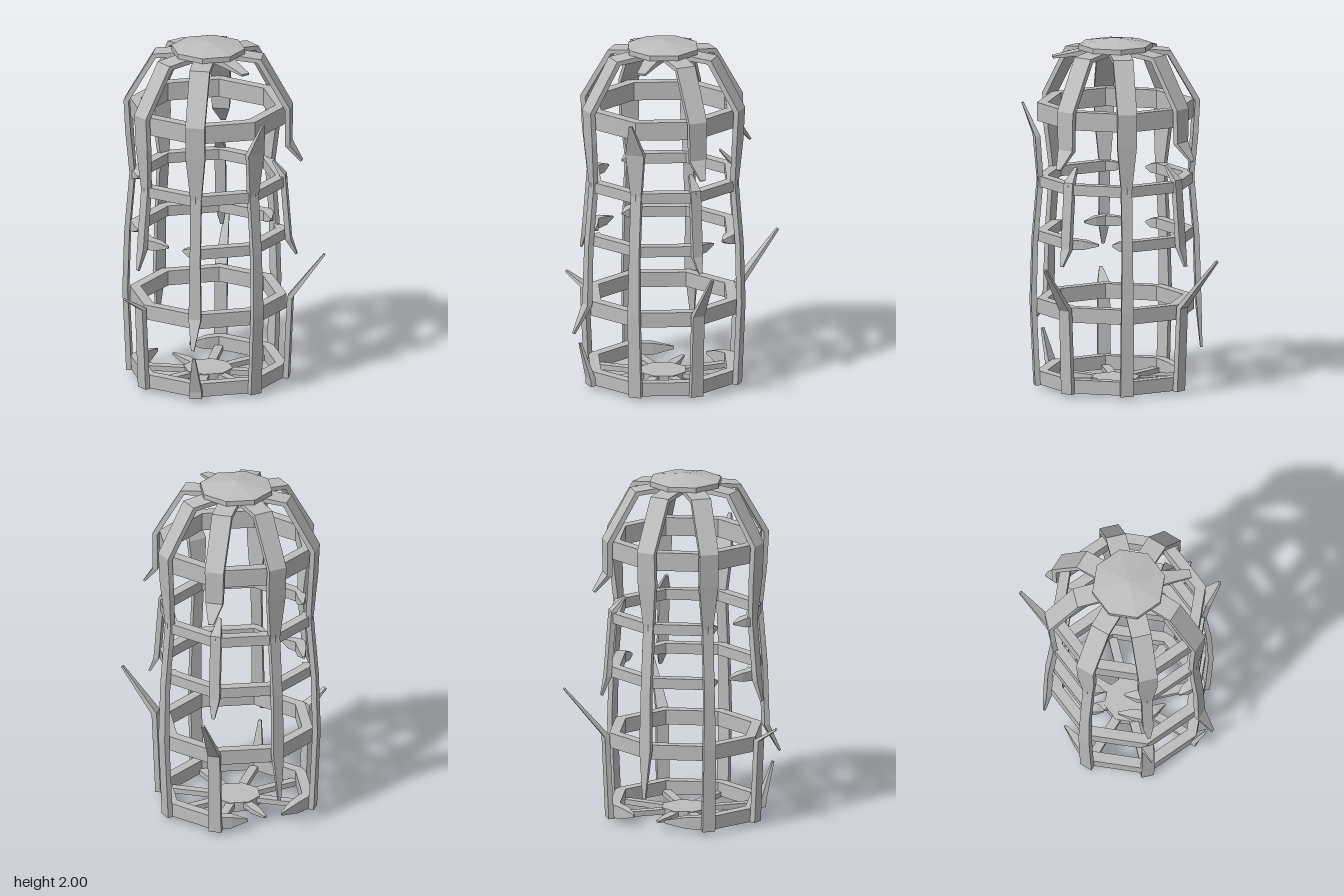
import * as THREE from 'three';

const metal = new THREE.MeshStandardMaterial({ color: 0xbdbdbd, flatShading: true });
metal.name = 'grey metal';

// Skin a list of four-cornered sections, capped at both ends and facing outward
function loft(sections) {
  const tris = [];
  const quad = (a, b, c, d) => tris.push([a, b, c], [a, c, d]);
  for (let i = 0; i < sections.length - 1; i++) {
    for (let k = 0; k < 4; k++) {
      const n = (k + 1) % 4;
      quad(sections[i][k], sections[i][n], sections[i + 1][n], sections[i + 1][k]);
    }
  }
  const [a, b, c, d] = sections[0];
  const [e, f, g, h] = sections[sections.length - 1];
  quad(d, c, b, a);
  quad(e, f, g, h);
  const mid = a.clone().add(c).add(e).add(g).multiplyScalar(0.25);
  let volume = 0;
  for (const t of tris) {
    const [p, q, r] = t.map((v) => v.clone().sub(mid));
    volume += p.dot(q.cross(r));
  }
  const points = tris.flatMap((t) => (volume < 0 ? [t[0], t[2], t[1]] : t));
  const geometry = new THREE.BufferGeometry().setFromPoints(points);
  geometry.computeVertexNormals();
  return geometry;
}

// Strip whose outer face follows [radius, height, width, thickness] points
function strip(path) {
  const sections = path.map(([r, y, w, t = 0.03], i) => {
    const p = path[Math.max(i - 1, 0)];
    const n = path[Math.min(i + 1, path.length - 1)];
    const dir = new THREE.Vector2(n[0] - p[0], n[1] - p[1]).normalize();
    const ir = r + dir.y * t;
    const iy = y - dir.x * t;
    return [[-w / 2, y, r], [w / 2, y, r], [w / 2, iy, ir], [-w / 2, iy, ir]]
      .map((v) => new THREE.Vector3(...v));
  });
  return loft(sections);
}

// Whole bar from the crown to the floor
const PROFILE = [
  [0.12, 1.945, 0.115], [0.31, 1.925, 0.115], [0.475, 1.64, 0.11], [0.465, 1.45, 0.11],
  [0.445, 1.2, 0.062], [0.475, 0.85, 0.06], [0.485, 0.5, 0.07], [0.463, 0.02, 0.074],
];
const P = (from, to) => PROFILE.slice(from, to + 1);
const tip = (r, y, w = 0.018) => [r, y, w, 0.012];

// Bars by direction, in steps of 45 degrees from +z towards +x; broken bars have several pieces
const BARS = [
  [[...P(0, 5), tip(0.495, 0.73)], [tip(0.585, 0.57), ...P(6, 7)]],
  [[...P(0, 6), tip(0.56, 0.34)], [tip(0.52, 0.275), [0.465, 0.06, 0.072], ...P(7, 7)]],
  [[...P(0, 0), [0.21, 1.935, 0.08], tip(0.36, 1.905, 0.05)], [tip(0.535, 1.64), ...P(3, 7)]],
  [[...P(0, 2), [0.475, 1.42, 0.1], tip(0.54, 1.32, 0.03)],
    [tip(0.375, 1.31), [0.445, 1.23, 0.062], [0.475, 0.85, 0.06], tip(0.51, 0.76)],
    [tip(0.67, 0.76), ...P(6, 7)]],
  [PROFILE],
  [[...P(0, 2), [0.475, 1.45, 0.1], tip(0.545, 1.35, 0.03)],
    [tip(0.36, 1.31), [0.445, 1.23, 0.062], [0.475, 0.85, 0.06], tip(0.5, 0.74)],
    [tip(0.72, 0.79), ...P(6, 7)]],
  [[...P(0, 6), tip(0.495, 0.21)]],
  [PROFILE],
];

// Rings: height, band height, and broken spans as { side: [stub length, stub length] }
const RINGS = [
  [1.587, 0.105, {}],
  [1.19, 0.06, { 7: [0.25, 0.38] }],
  [0.875, 0.06, { 0: [0.42, 0.28], 7: [0.25, 0.5], 3: [0.5, 0.25] }],
  [0.473, 0.085, {}],
  [0.063, 0.078, { 5: [0.55, 0], 6: [0, 0.75] }],
];
const R_OUT = 0.448, R_IN = 0.385;

function ringSpan(side, y, h, from, to, taper) {
  const corner = (i, r) => new THREE.Vector3(Math.sin(i * Math.PI / 4) * r, 0, Math.cos(i * Math.PI / 4) * r);
  const section = (f, s) => {
    const out = corner(side, R_OUT).lerp(corner(side + 1, R_OUT), f);
    const inn = corner(side, R_IN).lerp(corner(side + 1, R_IN), f);
    const mid = out.clone().lerp(inn, 0.5);
    out.lerp(mid, 1 - s);
    inn.lerp(mid, 1 - s);
    return [[out, 1], [inn, 1], [inn, -1], [out, -1]]
      .map(([v, sign]) => v.clone().setY(y + sign * s * h / 2));
  };
  return loft(taper
    ? [section(from, 1), section(from + (to - from) * 0.5, 0.85), section(to, 0.2)]
    : [section(from, 1), section(to, 1)]);
}

export function createModel() {
  const model = new THREE.Group();
  model.name = 'brokenCage';
  const cage = new THREE.Group();
  cage.name = 'cage';
  cage.position.set(-0.015, 0, -0.035);
  model.add(cage);
  const add = (geometry, name, y = 0) => {
    const mesh = new THREE.Mesh(geometry, metal);
    mesh.name = name;
    mesh.position.y = y;
    cage.add(mesh);
    return mesh;
  };

  // Vertical bars
  BARS.forEach((pieces, i) => pieces.forEach((path) => {
    add(strip(path), pieces.length > 1 ? 'brokenBar' : 'bar').rotation.y = i * Math.PI / 4;
  }));

  // Hoops around the cage, with splintered stubs where a span has snapped
  for (const [y, h, broken] of RINGS) {
    for (let side = 0; side < 8; side++) {
      const stubs = broken[side];
      if (!stubs) {
        add(ringSpan(side, y, h, 0, 1, false), 'ringSpan');
        continue;
      }
      if (stubs[0]) add(ringSpan(side, y, h, 0, stubs[0], true), 'ringStub');
      if (stubs[1]) add(ringSpan(side, y, h, 1, 1 - stubs[1], true), 'ringStub');
    }
  }

  // Floor spokes, one of them snapped
  for (let i = 0; i < 8; i++) {
    const path = i === 6
      ? [[0.05, 0.05, 0.05], [0.22, 0.05, 0.05], tip(0.33, 0.045)]
      : [[0.05, 0.05, 0.05], [0.44, 0.05, 0.05]];
    add(strip(path), 'floorSpoke').rotation.y = i * Math.PI / 4;
  }

  // Floor hub and crown plate
  add(new THREE.CylinderGeometry(0.14, 0.14, 0.055, 8), 'floorHub', 0.0275);
  add(new THREE.CylinderGeometry(0.21, 0.21, 0.03, 8), 'crownRim', 1.95);
  add(new THREE.ConeGeometry(0.21, 0.035, 8), 'crownTop', 1.9825);
  return model;
}
